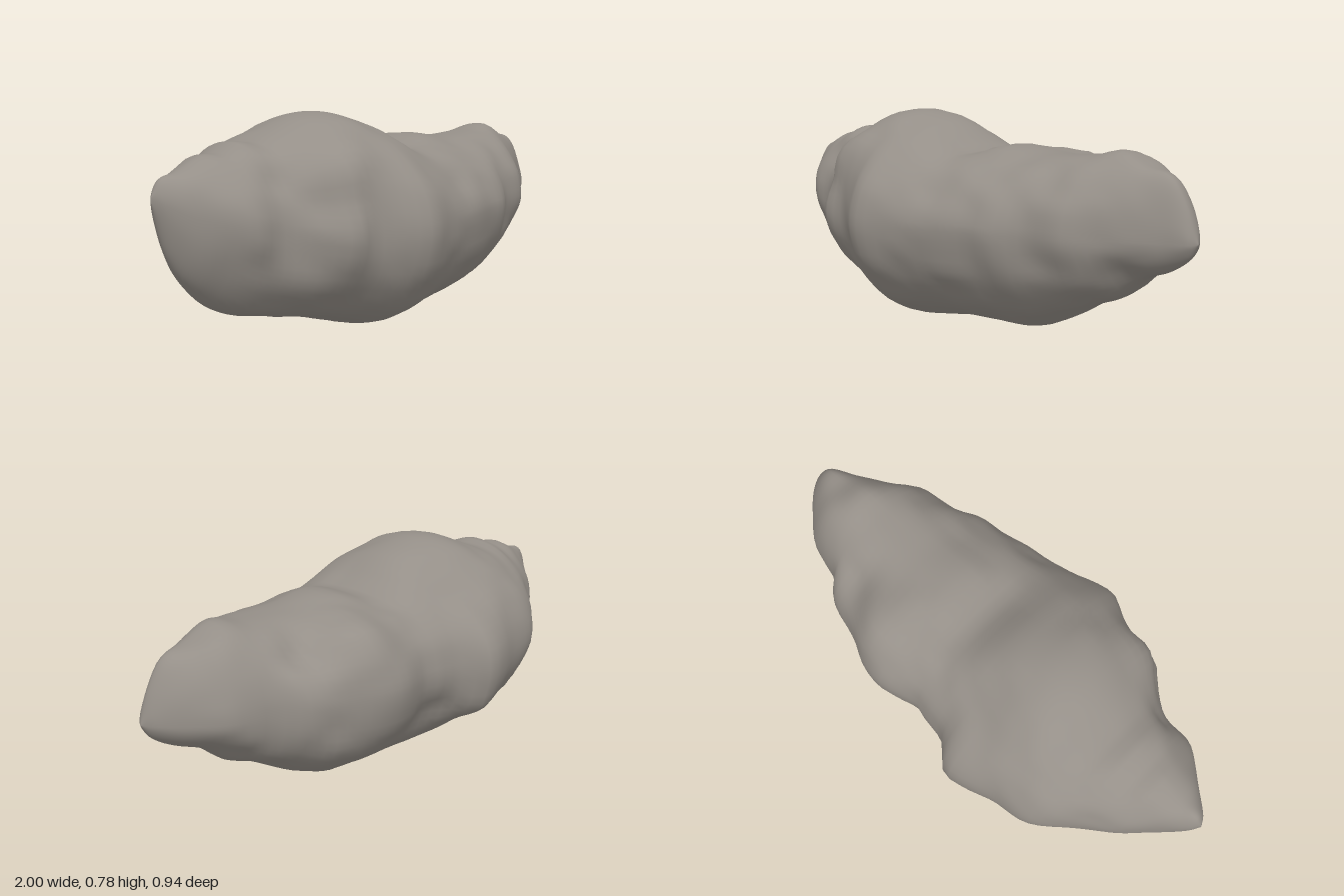
import * as THREE from 'three';

// Outline profiles along the long axis: [x, value]
const TOP = [[-1, .55], [-.97, .6], [-.9, .62], [-.8, .665], [-.74, .665], [-.67, .70], [-.6, .69], [-.5, .73], [-.4, .77], [-.3, .782],
  [-.2, .765], [-.1, .73], [0, .66], [.06, .637], [.2, .675], [.4, .655], [.6, .665], [.7, .685], [.8, .64], [.9, .61], [.96, .52], [1, .41]];
const BOTTOM = [[-1, .53], [-.97, .42], [-.95, .36], [-.9, .27], [-.8, .17], [-.7, .12], [-.6, .10], [-.4, .06], [-.3, .03], [-.2, .003],
  [-.1, .005], [0, .015], [.2, .03], [.35, .03], [.45, .07], [.6, .15], [.7, .19], [.8, .27], [.9, .31], [.97, .36], [1, .41]];
const FRONT = [[-1, 0], [-.98, .035], [-.9, .11], [-.8, .2], [-.75, .225], [-.65, .23], [-.55, .31], [-.47, .38], [-.37, .375], [-.27, .42],
  [-.18, .465], [-.05, .43], [.2, .38], [.3, .355], [.4, .34], [.5, .28], [.65, .25], [.72, .18], [.8, .13], [.9, .07], [.98, .03], [1, 0]];
const BACK = [[-1, 0], [-.98, .03], [-.9, .1], [-.8, .2], [-.7, .27], [-.6, .36], [-.53, .4], [-.4, .42], [-.3, .455], [-.2, .47], [-.12, .4],
  [0, .38], [.05, .37], [.2, .415], [.3, .405], [.4, .36], [.57, .31], [.63, .25], [.72, .225], [.8, .2], [.9, .12], [.97, .05], [1, 0]];
// Height of the widest point of each section
const WAIST = [[-1, .54], [-.9, .48], [-.6, .41], [-.2, .38], [.3, .4], [1, .41]];

// Smooth interpolation that passes through every profile point
function sample(p, x) {
  let i = 0;
  while (i < p.length - 2 && x > p[i + 1][0]) i++;
  const [x0, a] = p[i], [x1, b] = p[i + 1], h = x1 - x0, t = (x - x0) / h;
  const slope = (j) => {
    if (j <= 0 || j >= p.length - 1) return (b - a) / h;
    return (p[j + 1][1] - p[j - 1][1]) / (p[j + 1][0] - p[j - 1][0]);
  };
  const m0 = slope(i) * h, m1 = slope(i + 1) * h, t2 = t * t, t3 = t2 * t;
  return (2 * t3 - 3 * t2 + 1) * a + (t3 - 2 * t2 + t) * m0 + (3 * t2 - 2 * t3) * b + (t3 - t2) * m1;
}

// Exact profile and its local average, as a pair
function profile(p, x) {
  const w = Math.min(.07, (1 - Math.abs(x)) * .4);
  let sum = 0;
  for (let i = -2; i <= 2; i++) sum += sample(p, x + i * w);
  return [sample(p, x), sum / 5];
}

// Seeded lattice noise, -1 to 1
function hash(i, j, k) {
  const s = Math.sin(i * 127.1 + j * 311.7 + k * 74.7) * 43758.5453;
  return (s - Math.floor(s)) * 2 - 1;
}
function noise(x, y, z) {
  const i = Math.floor(x), j = Math.floor(y), k = Math.floor(z);
  const ease = (t) => t * t * (3 - 2 * t), L = THREE.MathUtils.lerp;
  const u = ease(x - i), v = ease(y - j), w = ease(z - k);
  const row = (b, c) => L(hash(i, j + b, k + c), hash(i + 1, j + b, k + c), u);
  return L(L(row(0, 0), row(1, 0), v), L(row(0, 1), row(1, 1), v), w);
}

// Craters and knolls: x, y, z, radius, depth (negative is a dent)
const FEATURES = [
  // front side
  [-.52, .47, .3, .1, -.03], [-.43, .62, .28, .1, .035], [-.62, .6, .2, .08, -.025], [.12, .5, .33, .1, -.02],
  [.35, .45, .3, .09, -.015], [.75, .3, .1, .08, -.03], [-.15, .08, .27, .15, .025], [.28, .62, .14, .1, -.015],
  // back side
  [.3, .6, -.31, .12, .05], [.5, .59, -.23, .09, -.04], [.79, .58, -.1, .09, .03], [.45, .22, -.25, .12, .025],
  [-.03, .25, -.33, .11, -.03], [-.22, .2, -.4, .1, .02], [-.22, .66, -.28, .15, -.04], [-.2, .1, -.3, .12, -.02]];

function rockGeometry(stations, sides) {
  const pos = [], index = [], p = new THREE.Vector3(), f = new THREE.Vector3();
  for (let i = 0; i <= stations; i++) {
    const x = -Math.cos((i / stations) * Math.PI);
    const mid = sample(WAIST, x);
    const [top, low, front, back] = [TOP, BOTTOM, FRONT, BACK].map((o) => profile(o, x));
    const fade = Math.min(1, (1 - Math.abs(x)) * 4);
    for (let j = 0; j < sides; j++) {
      const a = (j / sides) * Math.PI * 2, c = Math.cos(a), s = Math.sin(a);
      // Outline detail stays near its own outline and softens away from it
      const height = THREE.MathUtils.lerp(...(s > 0 ? top : low), 1 - s ** 4);
      const width = Math.max(0, THREE.MathUtils.lerp(...(c > 0 ? front : back), 1 - c ** 4));
      p.set(x, mid + Math.abs(s) * (height - mid), c * width);
      // Roughen the faces between the four outlines
      const between = fade * Math.min(1, Math.abs(Math.sin(2 * a)) * 1.3);
      let d = .008 * noise(p.x * 11, p.y * 12 + 5, p.z * 12);
      for (const [fx, fy, fz, r, depth] of FEATURES) {
        d += depth * Math.exp(-p.distanceToSquared(f.set(fx, fy, fz)) / (r * r));
      }
      pos.push(x, p.y + s * d * between, p.z + c * d * between);
    }
  }
  for (let i = 0; i < stations; i++) {
    for (let j = 0; j < sides; j++) {
      const k = (j + 1) % sides, a = i * sides + j, b = i * sides + k;
      index.push(a, a + sides, b, b, a + sides, b + sides);
    }
  }
  // Close both tips
  const last = stations * sides;
  for (let j = 1; j < sides - 1; j++) {
    index.push(0, j, j + 1, last, last + j + 1, last + j);
  }
  const g = new THREE.BufferGeometry();
  g.setAttribute('position', new THREE.Float32BufferAttribute(pos, 3));
  g.setIndex(index);
  g.computeVertexNormals();
  return g;
}

export function createModel() {
  const stone = new THREE.MeshStandardMaterial({ color: 0x958f88 });
  stone.name = 'grey stone';
  const rock = new THREE.Mesh(rockGeometry(80, 64), stone);
  rock.name = 'asteroidBody';
  const group = new THREE.Group();
  group.name = 'asteroid';
  group.add(rock);
  return group;
}
